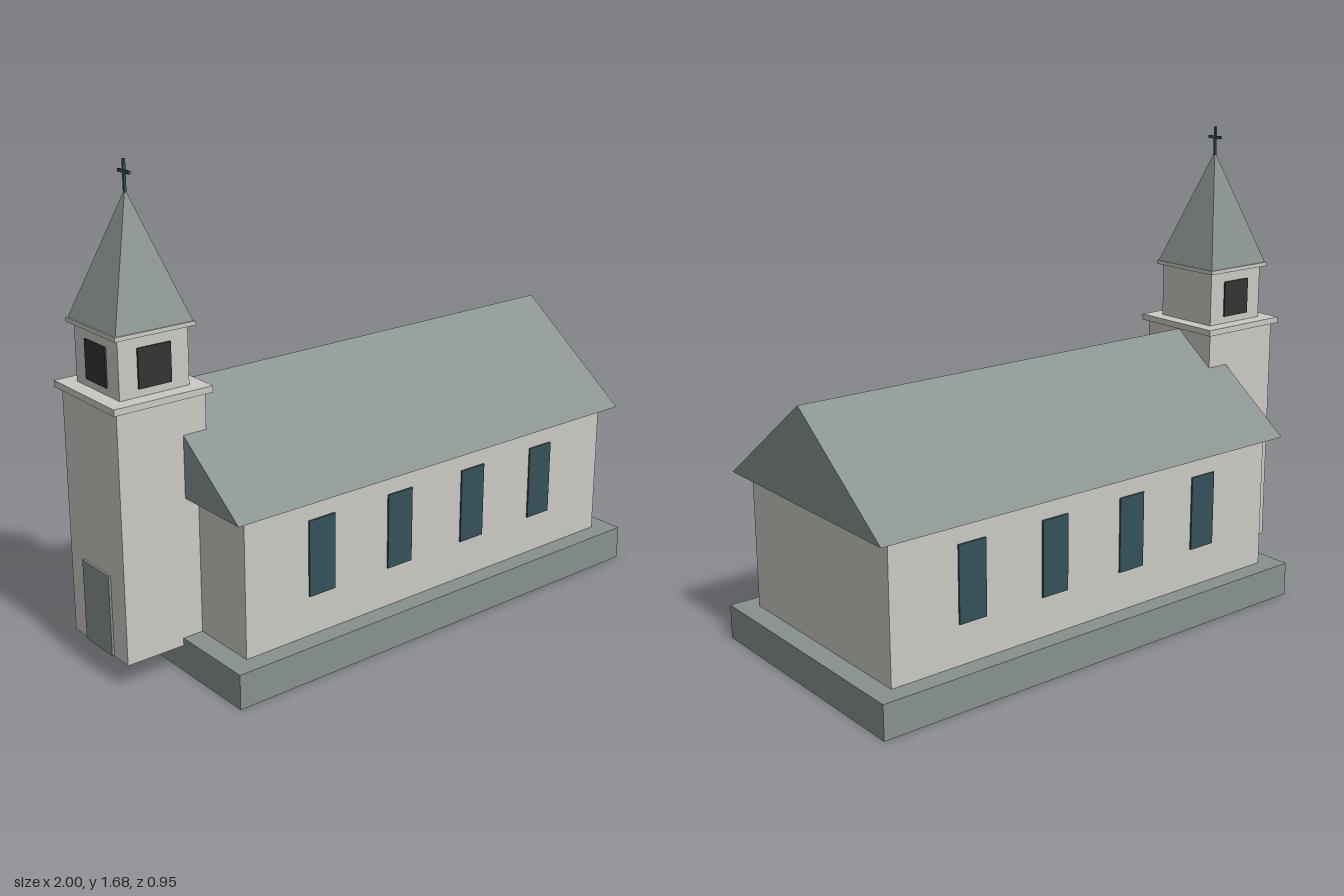
import * as THREE from 'three';

const material = (name, color) => {
  const m = new THREE.MeshStandardMaterial({ color });
  m.name = name;
  return m;
};

export function createModel() {
  const stone = material('pale stone', 0xcac9c3);
  const slate = material('grey slate', 0x87918f);
  const glass = material('teal glass', 0x345058);
  const dark = material('dark opening', 0x343434);

  const model = new THREE.Group();
  model.name = 'church';

  // Box given by its min and max on each axis
  const box = (parent, name, mat, [x0, x1], [y0, y1], [z0, z1]) => {
    const mesh = new THREE.Mesh(new THREE.BoxGeometry(x1 - x0, y1 - y0, z1 - z0), mat);
    mesh.position.set((x0 + x1) / 2, (y0 + y1) / 2, (z0 + z1) / 2);
    mesh.name = name;
    parent.add(mesh);
    return mesh;
  };

  // Plinth and nave
  box(model, 'plinth', slate, [-0.77, 1], [0, 0.122], [-0.475, 0.475]);
  box(model, 'naveWalls', stone, [-0.695, 0.925], [0.122, 0.61], [-0.407, 0.407]);

  // Gabled roof, a closed triangular prism along x
  const gable = new THREE.Shape([
    new THREE.Vector2(-0.45, 0.607),
    new THREE.Vector2(0.45, 0.607),
    new THREE.Vector2(0, 0.94),
  ]);
  const roofGeometry = new THREE.ExtrudeGeometry(gable, { depth: 1.72, bevelEnabled: false });
  roofGeometry.rotateY(Math.PI / 2);
  const roof = new THREE.Mesh(roofGeometry, slate);
  roof.position.x = -0.745;
  roof.name = 'naveRoof';
  model.add(roof);

  // Four windows on each long wall
  for (const side of [-1, 1]) {
    for (let i = 0; i < 4; i++) {
      const x = -0.39 + i * 0.335;
      const pane = box(model, 'naveWindow', glass, [x - 0.053, x + 0.053], [0.263, 0.53], [-0.004, 0.004]);
      pane.position.z = side * 0.409;
    }
  }

  // Tower, built around its own axis
  const tower = new THREE.Group();
  tower.name = 'tower';
  tower.position.x = -0.82;
  model.add(tower);
  const block = (name, half, y0, y1) =>
    box(tower, name, stone, [-half, half], [y0, y1], [-half, half]);
  block('towerShaft', 0.162, 0.095, 0.945);
  block('towerCornice', 0.18, 0.945, 0.967);
  block('belfry', 0.127, 0.967, 1.162);
  block('belfryCornice', 0.145, 1.162, 1.176);
  box(tower, 'door', slate, [-0.17, -0.161], [0.097, 0.38], [-0.08, 0.08]);

  // Belfry openings on the three free sides
  for (const side of [-1, 1]) {
    const opening = box(tower, 'belfryOpening', dark, [-0.06, 0.06], [0.993, 1.124], [-0.004, 0.004]);
    opening.position.z = side * 0.129;
  }
  box(tower, 'belfryOpening', dark, [-0.133, -0.125], [0.993, 1.124], [-0.06, 0.06]);

  // Four-sided spire
  const spireMaterial = slate;
  const spireGeometry = new THREE.ConeGeometry(0.14 * Math.SQRT2, 0.409, 4).toNonIndexed();
  spireGeometry.rotateY(Math.PI / 4);
  spireGeometry.computeVertexNormals();
  const spire = new THREE.Mesh(spireGeometry, spireMaterial);
  spire.position.y = 1.176 + 0.2045;
  spire.name = 'spire';
  tower.add(spire);

  // Cross
  box(tower, 'crossPost', glass, [-0.004, 0.004], [1.565, 1.677], [-0.004, 0.004]);
  box(tower, 'crossBar', glass, [-0.004, 0.004], [1.633, 1.643], [-0.031, 0.031]);

  return model;
}
